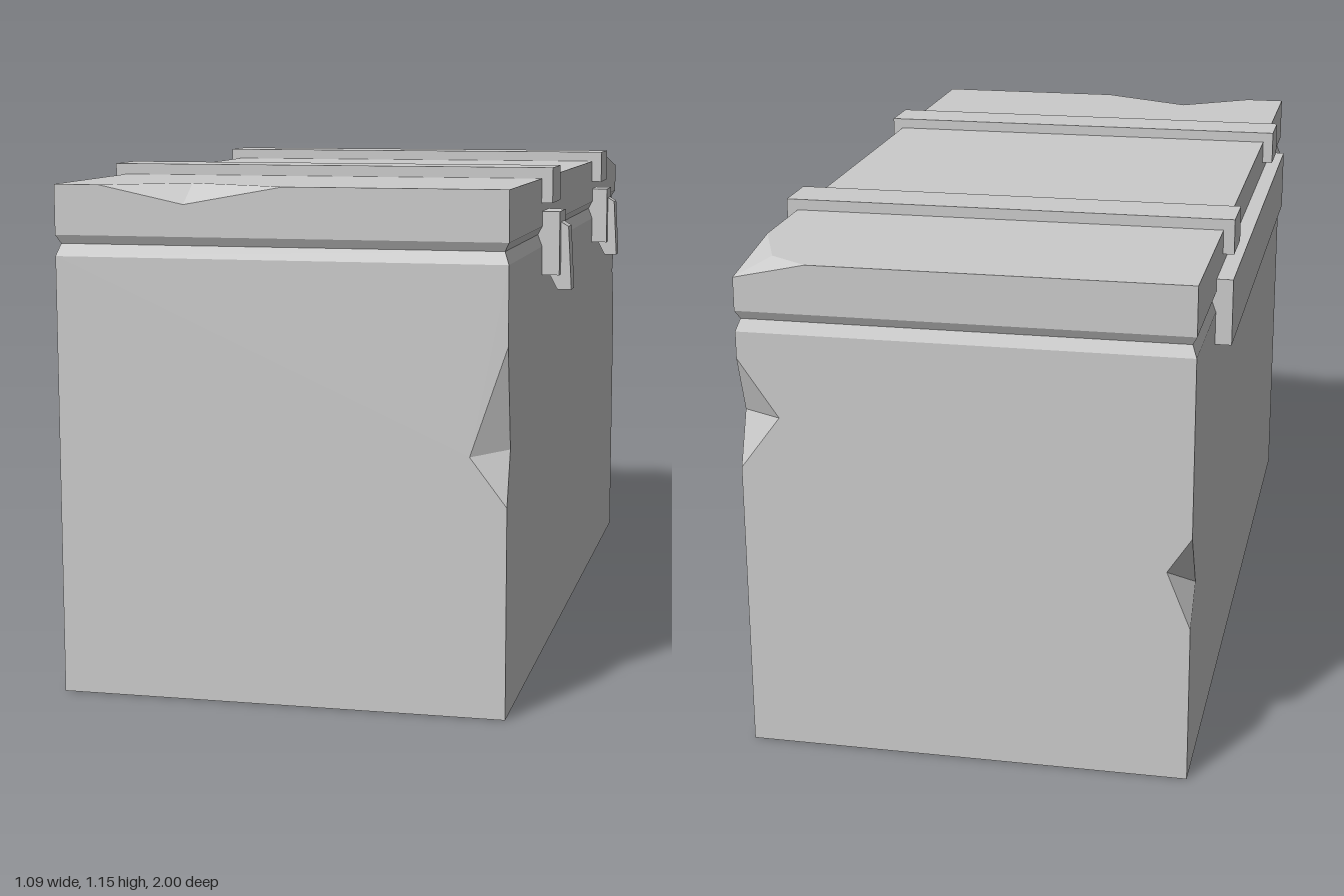
import * as THREE from 'three';

const L = -0.51, R = 0.48, F = 1, B = -1; // side planes of the chest
const SEAM = 0.997, INSET = 0.01;
const material = new THREE.MeshStandardMaterial({ color: 0xcccccc, flatShading: true });

const V = (x, y, z) => new THREE.Vector3(x, y, z);

// Closed solid from flat polygons; each one is turned to face away from the centre
function solid(name, centre, polygons) {
  const pos = [];
  for (const poly of polygons) {
    const n = V(0, 0, 0), mid = V(0, 0, 0);
    poly.forEach((p, i) => {
      n.add(p.clone().cross(poly[(i + 1) % poly.length]));
      mid.addScaledVector(p, 1 / poly.length);
    });
    if (n.dot(mid.sub(centre)) < 0) n.negate();
    n.normalize();
    const u = Math.abs(n.y) > 0.9 ? V(1, 0, 0) : V(0, 1, 0);
    u.addScaledVector(n, -u.dot(n)).normalize();
    const w = n.clone().cross(u);
    const flat = poly.map(p => new THREE.Vector2(p.dot(u), p.dot(w)));
    for (const [a, b, c] of THREE.ShapeUtils.triangulateShape(flat, [])) {
      const ccw = THREE.ShapeUtils.area([flat[a], flat[b], flat[c]]) > 0;
      for (const i of ccw ? [a, b, c] : [a, c, b]) pos.push(...poly[i].toArray());
    }
  }
  const g = new THREE.BufferGeometry();
  g.setAttribute('position', new THREE.Float32BufferAttribute(pos, 3));
  g.computeVertexNormals();
  const mesh = new THREE.Mesh(g, material);
  mesh.name = name;
  return mesh;
}

function box(name, x0, x1, y0, y1, z0, z1) {
  const mesh = new THREE.Mesh(new THREE.BoxGeometry(x1 - x0, y1 - y0, z1 - z0), material);
  mesh.position.set((x0 + x1) / 2, (y0 + y1) / 2, (z0 + z1) / 2);
  mesh.name = name;
  return mesh;
}

const ring = (y, d = 0) => [V(L + d, y, F - d), V(R - d, y, F - d), V(R - d, y, B + d), V(L + d, y, B + d)];
const band = (a, b) => a.map((p, i) => [p, a[(i + 1) % 4], b[(i + 1) % 4], b[i]]);

// Lower box with chipped upright edges and a bevelled rim
function body() {
  const foot = ring(0), shoulder = ring(0.97), rim = ring(SEAM, INSET);
  // per corner: chip bottom, chip top, point on the front/back face, point on the side face
  const chips = [
    null,
    [0.46, 0.8, V(0.4, 0.565, F), V(R, 0.578, 0.96)],
    [0.66, 0.91, V(0.39, 0.78, B), V(R, 0.78, -0.955)],
    [0.36, 0.57, V(-0.457, 0.49, B), V(L, 0.44, -0.924)],
  ];
  const edge = (i, point) => {
    const c = chips[i], p = foot[i];
    return c ? [p, V(p.x, c[0], p.z), c[point], V(p.x, c[1], p.z), shoulder[i]] : [p, shoulder[i]];
  };
  const polys = [foot, rim, ...band(shoulder, rim)];
  for (let i = 0; i < 4; i++) {
    const point = i % 2 ? 3 : 2;
    polys.push([...edge(i, point), ...edge((i + 1) % 4, point).reverse()]);
    const c = chips[i];
    if (c) for (const y of [c[0], c[1]]) polys.push([V(foot[i].x, y, foot[i].z), c[2], c[3]]);
  }
  return solid('body', V(0, 0.5, 0), polys);
}

// Lid with a nick in the front edge and a broken back corner
function lid() {
  const T = 1.125, under = ring(SEAM, INSET), low = ring(1.016), top = ring(T);
  const nick = [V(-0.41, T, F), V(-0.22, 1.085, F), V(0, T, F)], nickIn = V(-0.235, T, 0.885);
  const cut = [V(R, T, -0.76), V(0.41, T, -0.94), V(0.32, T, B)], corner = V(R, 1.09, B);
  return solid('lid', V(0, 1.05, 0), [
    under, ...band(under, low),
    [low[0], low[1], top[1], nick[2], nick[1], nick[0], top[0]],
    [low[1], low[2], corner, cut[0], top[1]],
    [low[2], low[3], top[3], cut[2], corner],
    [low[3], low[0], top[0], top[3]],
    [top[0], nick[0], nickIn, nick[2], top[1], ...cut, top[3]],
    [nick[0], nick[1], nickIn], [nick[1], nick[2], nickIn],
    [corner, cut[0], cut[1]], [corner, cut[1], cut[2]],
  ]);
}

// Latch: plate on the side with a tilted lever
function latch(z) {
  const g = new THREE.Group();
  g.name = 'latch';
  g.add(box('latchPlate', R - 0.01, 0.52, 0.905, 1.05, z - 0.05, z + 0.05));
  const profile = [[0.5, 1.025], [0.52, 1.025], [0.537, 1.015], [0.545, 0.87], [0.513, 0.87], [0.493, 0.907]];
  const shape = new THREE.Shape(profile.map(p => new THREE.Vector2(...p)));
  const lever = new THREE.Mesh(new THREE.ExtrudeGeometry(shape, { depth: 0.052, bevelEnabled: false }), material);
  lever.position.z = z - 0.026;
  lever.name = 'latchLever';
  g.add(lever);
  return g;
}

export function createModel() {
  const chest = new THREE.Group();
  chest.name = 'chest';
  chest.add(body(), lid());
  chest.add(box('hingeStrip', -0.547, L + 0.01, 0.895, 1.045, -0.66, 0.655));
  for (const z of [-0.477, 0.475]) {
    chest.add(box('strap', -0.535, 0.505, 1.07, 1.15, z - 0.064, z + 0.064));
    chest.add(latch(z));
  }
  return chest;
}
